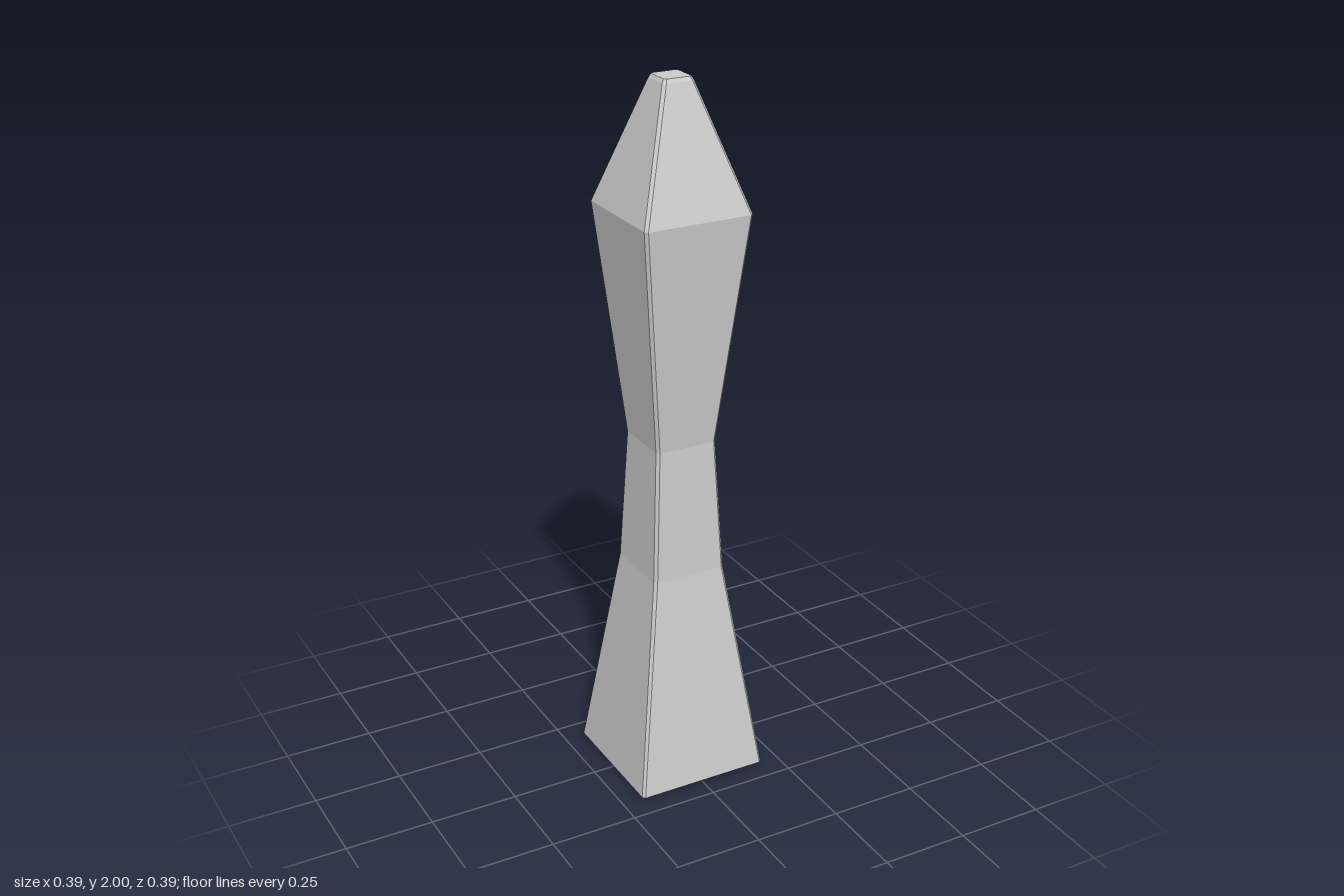
import * as THREE from 'three';

// [height, half width, corner chamfer] from the foot to the tip
const SECTIONS = [
  [0, 0.185, 0.005],
  [0.008, 0.193, 0.007],
  [0.63, 0.108, 0.008],
  [1.01, 0.09, 0.008],
  [1.655, 0.156, 0.008],
  [1.99, 0.045, 0.008],
  [2, 0.039, 0.006],
];

// Square ring with cut corners, counter-clockwise seen from above
function ring([y, h, c]) {
  const k = h - c;
  return [
    [h, k], [h, -k], [k, -h], [-k, -h],
    [-h, -k], [-h, k], [-k, h], [k, h],
  ].map(([x, z]) => [x, y, z]);
}

function loft(sections) {
  const rings = sections.map(ring);
  const n = rings[0].length;
  const positions = [];
  const tri = (a, b, c) => positions.push(...a, ...b, ...c);

  // Walls between neighbouring rings
  for (let r = 0; r < rings.length - 1; r++) {
    const low = rings[r], high = rings[r + 1];
    for (let i = 0; i < n; i++) {
      const j = (i + 1) % n;
      tri(low[i], low[j], high[j]);
      tri(low[i], high[j], high[i]);
    }
  }

  // Flat end caps
  const bottom = rings[0], top = rings[rings.length - 1];
  for (let i = 1; i < n - 1; i++) {
    tri(bottom[0], bottom[i + 1], bottom[i]);
    tri(top[0], top[i], top[i + 1]);
  }

  const geometry = new THREE.BufferGeometry();
  geometry.setAttribute('position', new THREE.Float32BufferAttribute(positions, 3));
  geometry.computeVertexNormals();
  return geometry;
}

export function createModel() {
  const group = new THREE.Group();
  group.name = 'pillar';

  // Waisted square shaft with a tapered head
  const material = new THREE.MeshStandardMaterial({ color: 0xcccccc, flatShading: true });
  const shaft = new THREE.Mesh(loft(SECTIONS), material);
  shaft.name = 'pillarShaft';
  group.add(shaft);

  return group;
}
